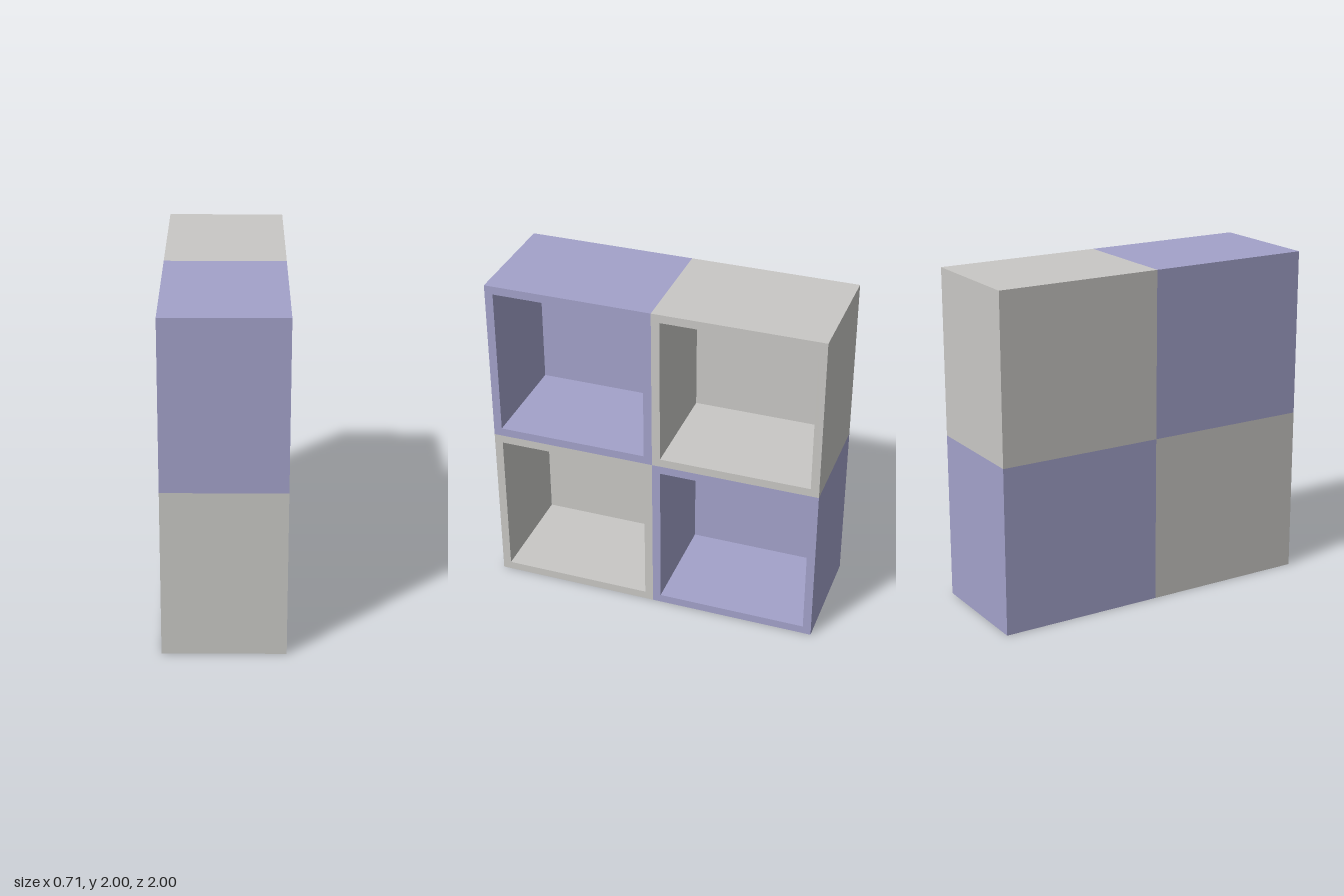
import * as THREE from 'three';

const DEPTH = 0.706, SIZE = 1, WALL = 0.05;

// Square outline centred on the origin
function square(PathType, size) {
  const h = size / 2;
  return new PathType([
    new THREE.Vector2(-h, -h), new THREE.Vector2(h, -h),
    new THREE.Vector2(h, h), new THREE.Vector2(-h, h),
  ]);
}

// One cube compartment, open towards +x
function createCompartment(name, material) {
  const group = new THREE.Group();
  group.name = name;

  // Four walls as one square ring
  const inner = SIZE - 2 * WALL;
  const ring = square(THREE.Shape, SIZE);
  ring.holes.push(square(THREE.Path, inner));
  const wallGeometry = new THREE.ExtrudeGeometry(ring, { depth: DEPTH, bevelEnabled: false });
  wallGeometry.translate(0, 0, -DEPTH / 2).rotateY(Math.PI / 2);
  const walls = new THREE.Mesh(wallGeometry, material);
  walls.name = 'compartmentWalls';

  // Panel closing the -x side
  const panel = new THREE.Mesh(new THREE.BoxGeometry(WALL, inner, inner), material);
  panel.name = 'backPanel';
  panel.position.x = -DEPTH / 2 + WALL / 2;

  group.add(walls, panel);
  return group;
}

export function createModel() {
  const lavender = new THREE.MeshStandardMaterial({ color: 0xa3a2ca });
  lavender.name = 'lavender';
  const warmGrey = new THREE.MeshStandardMaterial({ color: 0xc9c8c5 });
  warmGrey.name = 'warmGrey';

  const shelf = new THREE.Group();
  shelf.name = 'cubeShelf';

  // Two by two compartments in a chequered pattern
  for (const [row, y] of [['lower', 0.5], ['upper', 1.5]]) {
    for (const [column, z] of [['Front', 0.5], ['Rear', -0.5]]) {
      const isLavender = (row === 'upper') === (column === 'Front');
      const cell = createCompartment(`${row}${column}Compartment`, isLavender ? lavender : warmGrey);
      cell.position.set(0, y, z);
      shelf.add(cell);
    }
  }
  return shelf;
}
